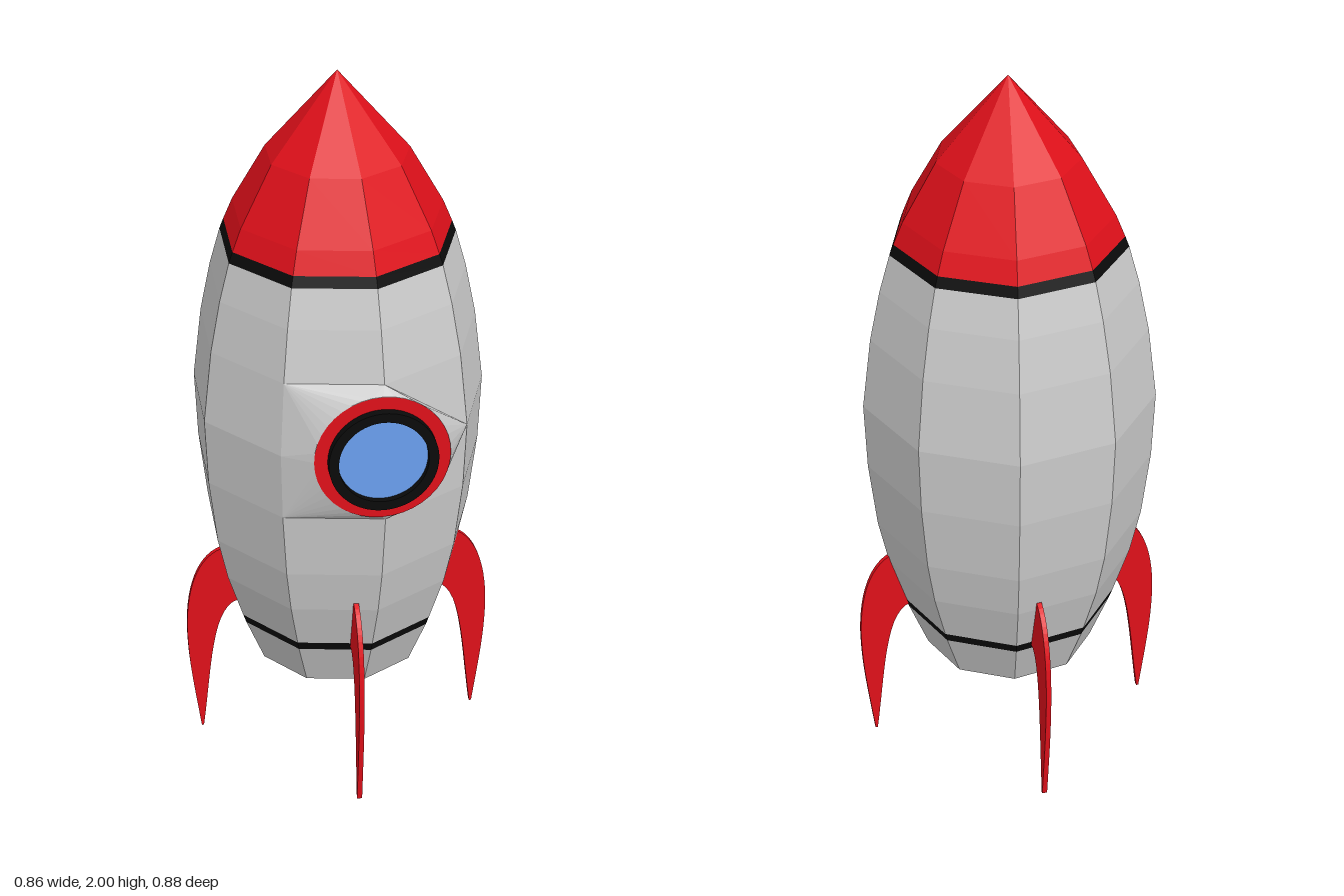
import * as THREE from 'three';
import { ConvexGeometry } from 'three/addons/geometries/ConvexGeometry.js';

const SIDES = 9;
const flat = (color) => new THREE.MeshStandardMaterial({ color, flatShading: true });
const grey = flat(0xcccccc), red = flat(0xe0101a), black = flat(0x0a0a0a), blue = flat(0x6aa0f0);

function add(parent, name, geometry, material) {
  const mesh = new THREE.Mesh(geometry, material);
  mesh.name = name;
  parent.add(mesh);
  return mesh;
}

// Nine-sided ring section with one corner on +x; profile runs [radius, y]
function section(profile) {
  return new THREE.LatheGeometry(profile.map(([r, y]) => new THREE.Vector2(r, y)), SIDES, Math.PI / 2);
}

// A corner of the hull at an angle measured from +x towards +z
function corner(degrees, r, y) {
  const a = THREE.MathUtils.degToRad(degrees);
  return new THREE.Vector3(r * Math.cos(a), y, r * Math.sin(a));
}

// Curved, pointed fin lying in the xy plane
function finGeometry() {
  const thickness = 0.014;
  const s = new THREE.Shape();
  s.moveTo(0.25, 0.425);
  s.lineTo(0.285, 0.43);
  s.bezierCurveTo(0.36, 0.41, 0.365, 0.2, 0.392, 0.004);
  s.lineTo(0.398, 0.004);
  s.bezierCurveTo(0.418, 0.16, 0.43, 0.24, 0.43, 0.35);
  s.bezierCurveTo(0.428, 0.47, 0.4, 0.58, 0.325, 0.606);
  s.lineTo(0.3, 0.6);
  s.closePath();
  const g = new THREE.ExtrudeGeometry(s, { depth: thickness, bevelEnabled: false, curveSegments: 14 });
  return g.translate(0, 0, -thickness / 2);
}

export function createModel() {
  const rocket = new THREE.Group();
  rocket.name = 'rocket';

  // Hull, from the exhaust recess up to the nose
  add(rocket, 'exhaustOpening', section([[0, 0.318], [0.088, 0.318]]), black);
  add(rocket, 'tail', section([[0.088, 0.318], [0.088, 0.28], [0.235, 0.28], [0.289, 0.415]]), grey);
  add(rocket, 'lowerBand', section([[0.289, 0.415], [0.298, 0.442]]), black);
  add(rocket, 'hull', section([
    [0.298, 0.442], [0.342, 0.58], [0.37, 0.71], [0.392, 0.9], [0.399, 1.09],
    [0.374, 1.29], [0.345, 1.43], [0.316, 1.533],
  ]), grey);
  add(rocket, 'upperBand', section([[0.316, 1.533], [0.305, 1.562]]), black);
  add(rocket, 'noseCone', section([[0.305, 1.562], [0.28, 1.622], [0.19, 1.78], [0, 2]]), red);

  // Porthole: fairing blends a round face into the hull corners
  const porthole = new THREE.Group();
  porthole.name = 'porthole';
  rocket.add(porthole);
  const cx = 0.057, cy = 1.092, faceZ = 0.395, rimR = 0.178;
  const points = [
    corner(120, 0.374, 1.29), corner(80, 0.374, 1.29), corner(40, 0.399, 1.09),
    corner(80, 0.392, 0.9), corner(120, 0.392, 0.9), corner(120, 0.399, 1.09),
  ];
  for (let i = 0; i < 40; i++) {
    const a = (i / 40) * Math.PI * 2;
    points.push(new THREE.Vector3(cx + rimR * Math.cos(a), cy + rimR * Math.sin(a), faceZ));
  }
  add(porthole, 'fairing', new ConvexGeometry(points), grey);
  add(porthole, 'outerRim', new THREE.CircleGeometry(rimR, 40).translate(cx, cy, faceZ + 0.002), red);

  const ring = new THREE.Shape().absarc(0, 0, 0.143, 0, Math.PI * 2);
  ring.holes.push(new THREE.Path().absarc(0, 0, 0.117, 0, Math.PI * 2, true));
  add(porthole, 'windowFrame',
    new THREE.ExtrudeGeometry(ring, { depth: 0.025, bevelEnabled: false, curveSegments: 40 })
      .translate(cx, cy, faceZ), black);
  add(porthole, 'windowGlass', new THREE.CircleGeometry(0.119, 40).translate(cx, cy, faceZ + 0.007), blue);

  // Four fins; the front and back pair sits slightly further out
  const fin = finGeometry();
  ['leftFin', 'backFin', 'rightFin', 'frontFin'].forEach((name, i) => {
    const pivot = new THREE.Group();
    pivot.name = name + 'Mount';
    pivot.rotation.y = i * Math.PI / 2;
    add(pivot, name, fin, red).position.x = i % 2 ? 0.011 : 0;
    rocket.add(pivot);
  });

  return rocket;
}
